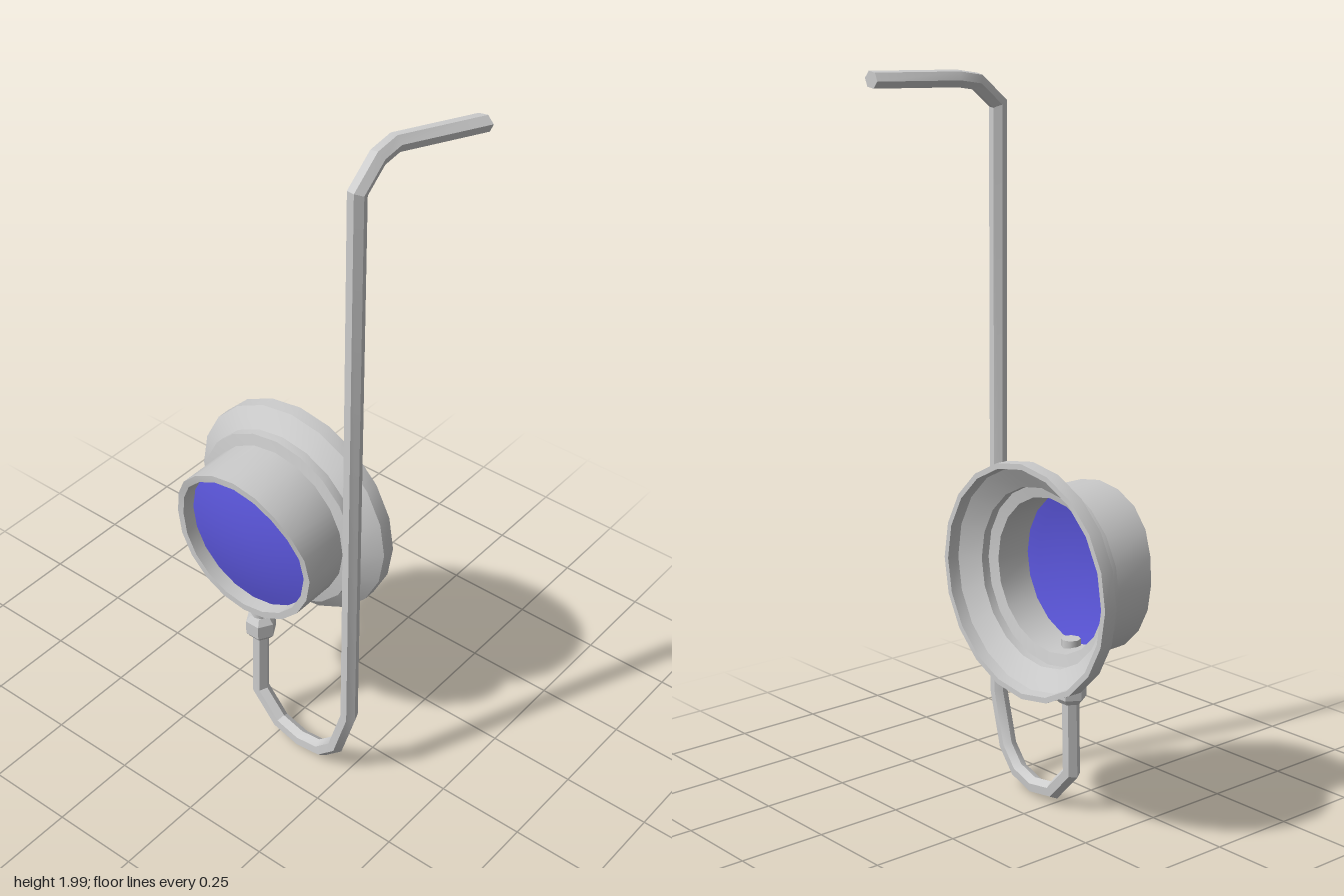
import * as THREE from 'three';
import { toCreasedNormals } from 'three/addons/utils/BufferGeometryUtils.js';

const CX = -0.077, CY = 0.70, SIDES = 20;
const grey = new THREE.MeshStandardMaterial({ color: 0xcccccc, side: THREE.DoubleSide });
const blue = new THREE.MeshStandardMaterial({ color: 0x5c57dd, side: THREE.DoubleSide });

function part(name, geometry, material, crease = 0.6) {
  const mesh = new THREE.Mesh(toCreasedNormals(geometry, crease), material);
  mesh.name = name;
  return mesh;
}

// Turned shape whose axis points forward; profile holds [radius, z] pairs
function turned(profile) {
  const g = new THREE.LatheGeometry(profile.map(([r, z]) => new THREE.Vector2(r, z)), SIDES);
  return g.rotateX(Math.PI / 2).translate(CX, CY, 0);
}

// Polygonal rod with mitred corners along a polyline; the last cut faces endCut
function sweep(points, radius, sides, endCut) {
  const n = points.length, pos = [], idx = [];
  const dirs = points.slice(1).map((p, i) => p.clone().sub(points[i]).normalize());
  let offsets = Array.from({ length: sides }, (_, k) => {
    const a = k / sides * Math.PI * 2;
    return new THREE.Vector3(Math.cos(a), 0, Math.sin(a)).multiplyScalar(radius);
  });
  points.forEach((p, i) => {
    const d = dirs[Math.max(i - 1, 0)];
    const t = i === n - 1 ? endCut : i === 0 ? d : d.clone().add(dirs[i]).normalize();
    for (const o of offsets) {
      const q = p.clone().add(o).addScaledVector(d, -o.dot(t) / d.dot(t));
      pos.push(q.x, q.y, q.z);
    }
    if (i > 0 && i < n - 1) {
      const turn = new THREE.Quaternion().setFromUnitVectors(d, dirs[i]);
      offsets = offsets.map(o => o.clone().applyQuaternion(turn));
    }
  });
  for (let i = 0; i < n - 1; i++) {
    for (let k = 0; k < sides; k++) {
      const a = i * sides + k, b = i * sides + (k + 1) % sides;
      idx.push(a, b, a + sides, b, b + sides, a + sides);
    }
  }
  // End caps
  const last = (n - 1) * sides;
  for (let k = 1; k < sides - 1; k++) {
    idx.push(0, k + 1, k, last, last + k, last + k + 1);
  }
  const g = new THREE.BufferGeometry();
  g.setAttribute('position', new THREE.Float32BufferAttribute(pos, 3));
  g.setIndex(idx);
  g.computeVertexNormals();
  return g;
}

export function createModel() {
  const group = new THREE.Group();

  // Hollow cup with flared back flange; its front rim rises towards the top
  const cup = turned([
    [0.305, -0.075], [0.32, -0.075], [0.32, -0.036], [0.265, 0], [0.265, 0.025],
    [0.232, 0.031], [0.232, 0.2], [0.212, 0.2], [0.212, 0.025], [0.245, 0.018],
    [0.245, -0.006], [0.302, -0.042], [0.305, -0.075],
  ]);
  const p = cup.attributes.position;
  for (let i = 0; i < p.count; i++) {
    if (p.getZ(i) < 0.19) continue;
    const lift = THREE.MathUtils.smoothstep((p.getY(i) - CY) / 0.232, 0, 0.95);
    p.setZ(i, 0.17 + 0.03 * lift);
  }
  group.add(part('cup', cup, grey));

  // Shallow domed membrane closing the front of the cup
  const dome = [];
  for (let i = 0; i <= 6; i++) {
    const f = 1 - i / 6;
    dome.push([0.213 * f, 0.16 - 0.03 * f * f]);
  }
  group.add(part('membrane', turned(dome), blue));

  // Inlet under the cup: neck poking inside, then a chamfered hex nut
  const neck = new THREE.CylinderGeometry(0.027, 0.027, 0.12, 8).translate(CX, 0.45, 0.1);
  group.add(part('neck', neck, grey, 0.9));
  const nutProfile = [[0, 0.33], [0.032, 0.33], [0.044, 0.345], [0.044, 0.388], [0.03, 0.407], [0, 0.407]];
  const nut = new THREE.LatheGeometry(nutProfile.map(([r, y]) => new THREE.Vector2(r, y)), 6);
  nut.rotateY(Math.PI / 6).translate(CX, 0, 0.1);
  group.add(part('nut', nut, grey, 0.4));

  // Hexagonal pipe: down, round the bend, up and over to the back
  const path = [
    [CX, 0.35, 0.1], [CX, 0.125, 0.105], [0, 0.046, 0.11], [0.085, 0.031, 0.117],
    [0.165, 0.051, 0.125], [0.222, 0.108, 0.132], [0.27, 0.26, 0.139],
    [0.265, 1.908, 0.138], [0.265, 1.968, 0.065], [0.265, 1.978, 0], [0.367, 1.978, -0.203],
  ].map(a => new THREE.Vector3(...a));
  const pipe = sweep(path, 0.024, 6, new THREE.Vector3(0, 0, -1));
  group.add(part('pipe', pipe, grey, 0.5));

  return group;
}
